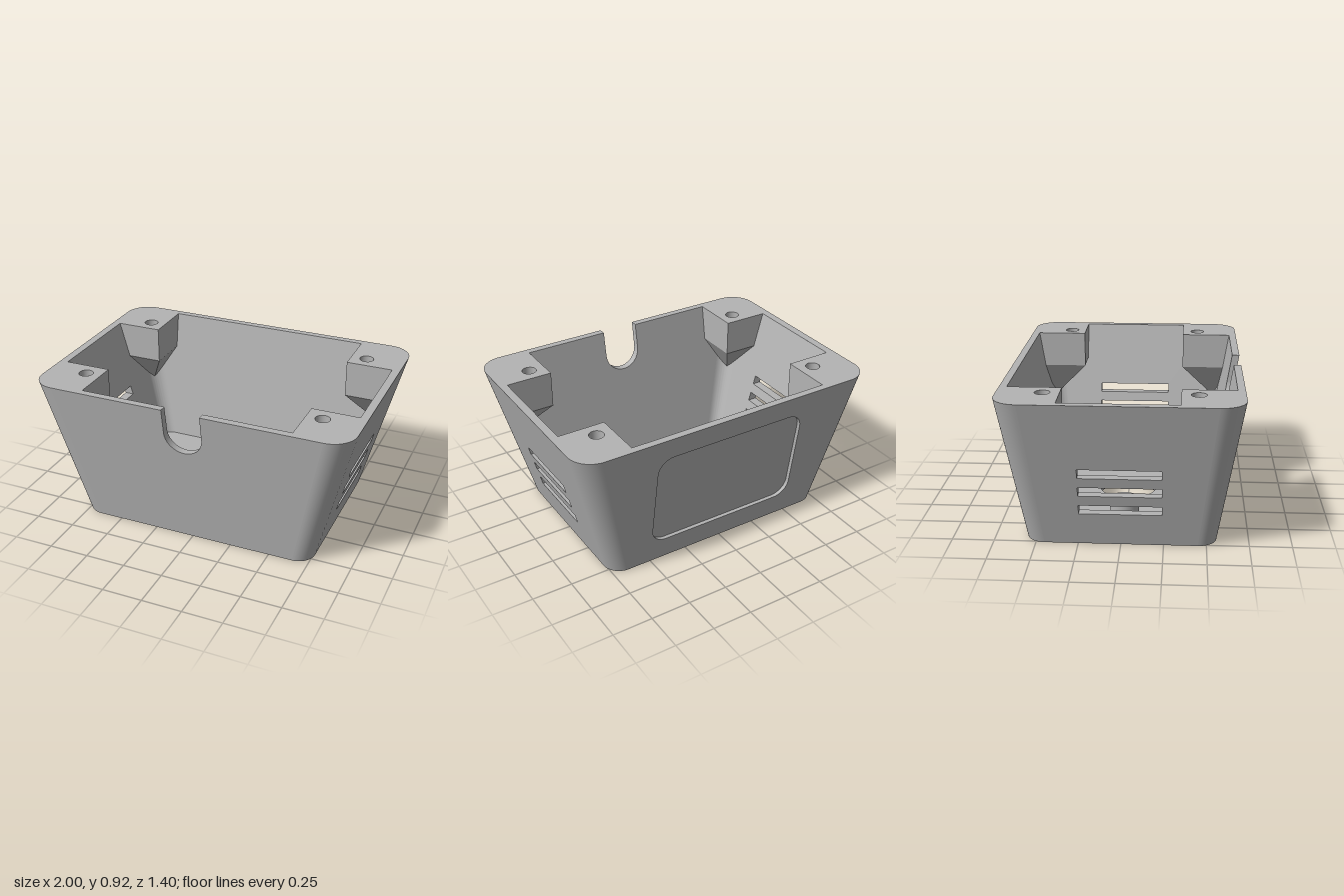
import * as THREE from 'three';
import { toCreasedNormals } from 'three/addons/utils/BufferGeometryUtils.js';

const H = 0.92, FLOOR = 0.05;
// Half width, half depth and corner radius of the tapered shell at height y
const outer = y => { const t = y / H; return { x: 0.76 + 0.24 * t, z: 0.56 + 0.14 * t, r: 0.11 + 0.04 * t }; };
const inner = y => { const t = (y - FLOOR) / (H - FLOOR); return { x: 0.71 + 0.24 * t, z: 0.515 + 0.14 * t, r: 0.07 + 0.04 * t }; };
const V2 = (x, y) => new THREE.Vector2(x, y);
const V3 = (x, y, z) => new THREE.Vector3(x, y, z);

function flip(geo) {
  const ix = geo.index.array;
  for (let i = 0; i < ix.length; i += 3) [ix[i], ix[i + 1]] = [ix[i + 1], ix[i]];
  return geo;
}

// Ribbon of faces between two point lists
function strip(a, b) {
  const n = a.length, index = [];
  for (let i = 0; i < n - 1; i++) index.push(i, i + 1, n + i, i + 1, n + i + 1, n + i);
  const geo = new THREE.BufferGeometry().setFromPoints([...a, ...b]);
  geo.setIndex(index);
  return toCreasedNormals(geo, 0.6);
}

// One rounded corner (quadrant k) of the shell at height y
function cornerArc(f, y, k) {
  const { x, z, r } = f(y), sx = [1, -1, -1, 1][k], sz = [1, 1, -1, -1][k];
  return Array.from({ length: 17 }, (_, i) => {
    const a = (k + i / 16) * Math.PI / 2;
    return V3(sx * (x - r) + r * Math.cos(a), y, sz * (z - r) + r * Math.sin(a));
  });
}

// Point on wall k (0 front, 1 left, 2 back, 3 right), moved in by depth
function wallPoint(f, k, u, y, depth = 0) {
  const d = k % 2 ? f(y).x : f(y).z;
  return V3(u, y, d - depth).applyAxisAngle(V3(0, 1, 0), k * Math.PI / 2);
}

// Flat shape laid onto a sloping wall
function wallFace(f, k, outline, holes = [], depth = 0, inward = false) {
  const shape = new THREE.Shape(outline);
  shape.holes = holes.map(h => new THREE.Path(h));
  const geo = new THREE.ShapeGeometry(shape), p = geo.attributes.position;
  for (let i = 0; i < p.count; i++) {
    const v = wallPoint(f, k, p.getX(i), p.getY(i), depth);
    p.setXYZ(i, v.x, v.y, v.z);
  }
  if (inward) flip(geo);
  return toCreasedNormals(geo, 0.6);
}

// Horizontal plate from points in x, z
function plate(points, holes, y, down = false) {
  const shape = new THREE.Shape(points.map(p => V2(p.x, -p.z)));
  for (const [x, z, r] of holes) shape.holes.push(new THREE.Path().absarc(x, -z, r, 0, Math.PI * 2, true));
  const geo = new THREE.ShapeGeometry(shape, 24).rotateX(-Math.PI / 2).translate(0, y, 0);
  if (down) flip(geo);
  geo.computeVertexNormals();
  return geo;
}

function roundedRect(cx, cy, hw, hh, r) {
  const pts = [];
  for (let k = 0; k < 4; k++) for (let i = 0; i <= 8; i++) {
    const a = (k + i / 8) * Math.PI / 2;
    pts.push(V2(cx + [1, -1, -1, 1][k] * (hw - r) + r * Math.cos(a), cy + [1, 1, -1, -1][k] * (hh - r) + r * Math.sin(a)));
  }
  return pts;
}

export function createModel() {
  const group = new THREE.Group();
  const grey = new THREE.MeshStandardMaterial({ color: 0xb4b4b4, side: THREE.DoubleSide });
  grey.name = 'grey plastic';
  const add = (name, geo) => {
    const m = new THREE.Mesh(geo, grey);
    m.name = name;
    group.add(m);
    return m;
  };

  // Openings as (u, y) outlines
  const slots = [0.24, 0.3625, 0.4825].map(y =>
    [V2(-0.24, y - 0.029), V2(0.24, y - 0.029), V2(0.24, y + 0.029), V2(-0.24, y + 0.029)]);
  const notch = [V2(-0.12, H)];
  for (let i = 0; i <= 24; i++) {
    const a = Math.PI * (1 + i / 24);
    notch.push(V2(0.12 * Math.cos(a), 0.76 + 0.12 * Math.sin(a)));
  }
  notch.push(V2(0.12, H));
  const panel = roundedRect(0, 0.465, 0.5, 0.32, 0.1);
  const RECESS = 0.025;

  // Outer and inner walls with their rounded corners
  for (const [label, f, y0] of [['outer', outer, 0], ['inner', inner, FLOOR]]) {
    const inside = f === inner;
    for (let k = 0; k < 4; k++) {
      const half = y => (k % 2 ? f(y).z : f(y).x) - f(y).r;
      const outline = [V2(-half(y0), y0), V2(half(y0), y0), V2(half(H), H)];
      if (k === 0) outline.push(...[...notch].reverse());
      outline.push(V2(-half(H), H));
      const holes = k % 2 ? slots : k === 2 && !inside ? [panel] : [];
      add(label + ['Front', 'Left', 'Back', 'Right'][k] + 'Wall', wallFace(f, k, outline, holes, 0, inside));
      const low = cornerArc(f, y0, k), high = cornerArc(f, H, k);
      add(label + 'Corner', inside ? strip(low, high) : strip(high, low));
    }
  }

  // Edges of the cable notch and the vent slots
  const through = (name, k, path) =>
    add(name, strip(path.map(p => wallPoint(outer, k, p.x, p.y)), path.map(p => wallPoint(inner, k, p.x, p.y))));
  through('cableNotchEdge', 0, notch);
  for (const k of [1, 3]) for (const s of slots) through('ventSlotEdge', k, [...s, s[0]]);

  // Recessed panel in the back wall
  const loop = [...panel, panel[0]];
  add('backPanelEdge', strip(loop.map(p => wallPoint(outer, 2, p.x, p.y)), loop.map(p => wallPoint(outer, 2, p.x, p.y, RECESS))));
  add('backPanel', wallFace(outer, 2, panel, [], RECESS));

  // Top rim, open at the notch and widened over the corner posts
  const ring = (f, y) => [1, 2, 3, 0].flatMap(k => cornerArc(f, y, k));
  const { x: ix, z: iz } = inner(H), PX = 0.66, PZ = 0.34;
  const screws = [[1, 1], [1, -1], [-1, -1], [-1, 1]];
  const half = [[0.12, iz], [PX, iz], [PX, PZ], [ix, PZ], [ix, -PZ], [PX, -PZ], [PX, -iz]];
  const rim = [V3(-0.12, H, outer(H).z), ...ring(outer, H), V3(0.12, H, outer(H).z),
    ...half.map(([x, z]) => V3(x, H, z)), ...[...half].reverse().map(([x, z]) => V3(-x, H, z))];
  add('topRim', plate(rim, screws.map(([sx, sz]) => [sx * 0.76, sz * 0.438, 0.044]), H));

  // Bored holes, with an end cap when blind
  const bore = (name, x, z, r, y0, y1, capY) => {
    const wall = new THREE.CylinderGeometry(r, r, y1 - y0, 32, 1, true);
    flip(wall);
    wall.attributes.normal.array.forEach((n, i, arr) => { arr[i] = -n; });
    add(name, wall).position.set(x, (y0 + y1) / 2, z);
    if (capY === undefined) return;
    const cap = add(name + 'End', new THREE.CircleGeometry(r, 32));
    cap.rotation.x = capY === y0 ? -Math.PI / 2 : Math.PI / 2;
    cap.position.set(x, capY, z);
  };

  // Corner screw posts with pointed undersides
  const PY = 0.69, SINK = 0.012;
  for (const [sx, sz] of screws) {
    const P = (x, y, z) => V3(sx * x, y, sz * z);
    const edge = (y, s) => [P(inner(y).x + s, y, PZ), P(PX, y, PZ), P(PX, y, inner(y).z + s)];
    const tip = P(0.828, 0.425, 0.575);
    const ribbon = (a, b) => sx * sz > 0 ? strip(a, b) : strip(b, a);
    add('screwPost', ribbon(edge(H, 0), edge(PY, SINK)));
    add('screwPostTaper', ribbon(edge(PY, SINK), [tip, tip, tip]));
    bore('screwHole', sx * 0.76, sz * 0.438, 0.044, 0.72, H, 0.72);
  }

  // Floor with the central opening and two mounting bosses
  const BX = 0.42, BOSS = 0.15;
  add('underside', plate(ring(outer, 0), [[0, 0, 0.18], [BX, 0, 0.038], [-BX, 0, 0.038]], 0, true));
  add('floor', plate(ring(inner, FLOOR), [[0, 0, 0.18]], FLOOR));
  bore('centreOpening', 0, 0, 0.18, 0, FLOOR);
  for (const s of [-1, 1]) {
    add('mountingBoss', new THREE.CylinderGeometry(0.09, 0.09, BOSS - FLOOR, 32)).position.set(s * BX, (BOSS + FLOOR) / 2, 0);
    bore('mountingHole', s * BX, 0, 0.038, 0, 0.12, 0.12);
  }
  return group;
}
